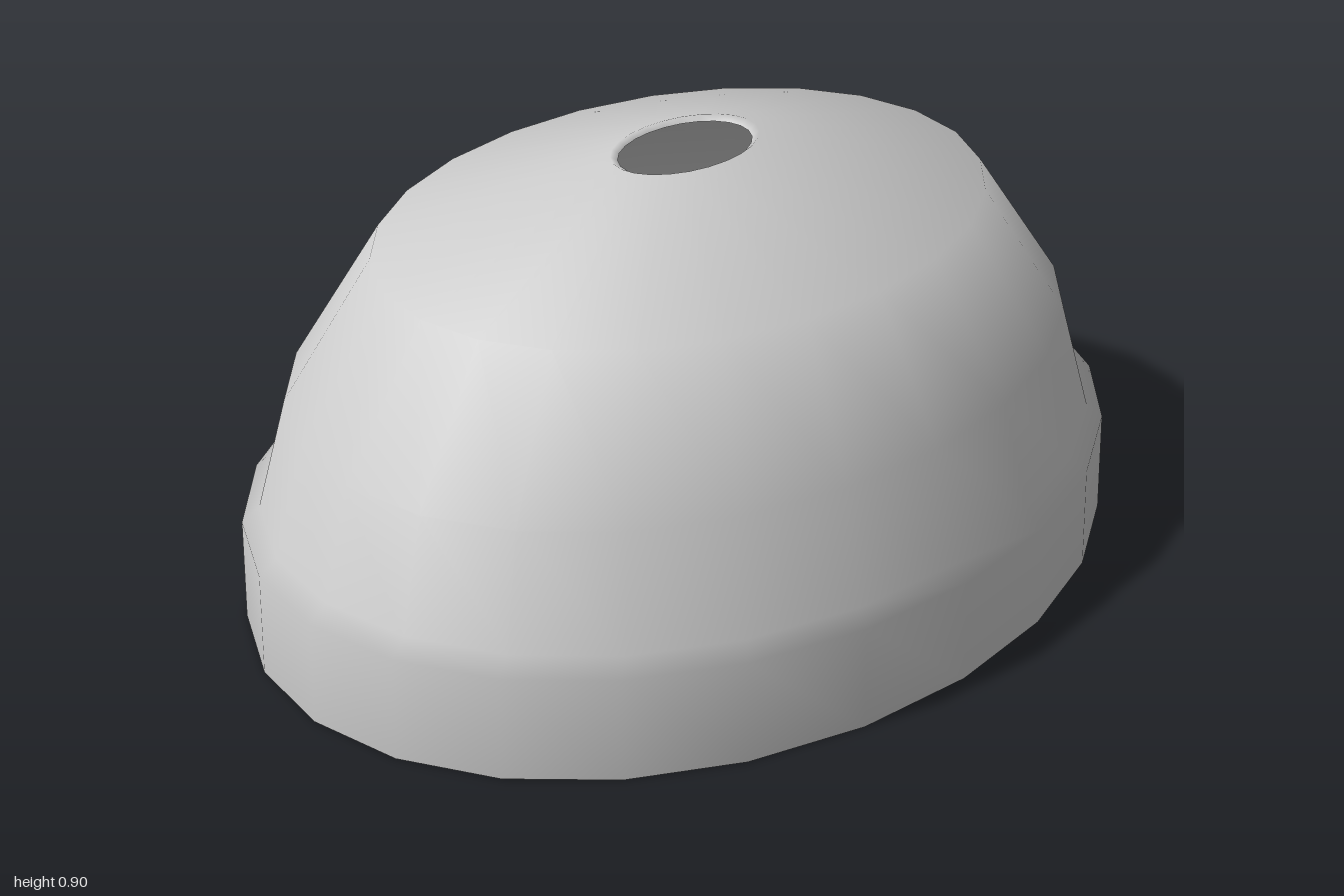
import * as THREE from 'three';

// Outer cross-section from the hem up: [half width, height, half length]
const OUTER = [
  [0.78, 0, 1.0],
  [0.775, 0.22, 0.995],
  [0.745, 0.25, 0.955],
  [0.685, 0.48, 0.89],
  [0.525, 0.76, 0.695],
  [0.115, 0.9, 0.175],
];
const WALL = 0.01;

export function createModel() {
  const group = new THREE.Group();
  group.name = 'cap';
  const fabric = new THREE.MeshStandardMaterial({ color: 0xcccccc });
  fabric.name = 'light grey';

  // Thin inner lining, offset from the outside
  const inner = OUTER.map(([x, y, z], i) => {
    const drop = i === 0 ? 0 : WALL;
    return [x - WALL, y - drop, z - WALL * (i === 5 ? 1.8 : 1)];
  });

  // Closed profile: down the lining, round the hem, up the outside, over the hole's lip
  const rings = [...inner].reverse().concat(OUTER, [inner[5]]);
  const geometry = new THREE.LatheGeometry(rings.map(([x, y]) => new THREE.Vector2(x, y)), 24);

  // Stretch each ring into its own oval, turning the normals to suit
  const { position, normal } = geometry.attributes;
  const n = new THREE.Vector3();
  for (let i = 0; i < position.count; i++) {
    const [x, , z] = rings[i % rings.length];
    const stretch = z / x;
    position.setZ(i, position.getZ(i) * stretch);
    n.fromBufferAttribute(normal, i);
    n.z /= stretch;
    n.normalize();
    normal.setXYZ(i, n.x, n.y, n.z);
  }

  const shell = new THREE.Mesh(geometry, fabric);
  shell.name = 'capShell';
  group.add(shell);
  return group;
}
